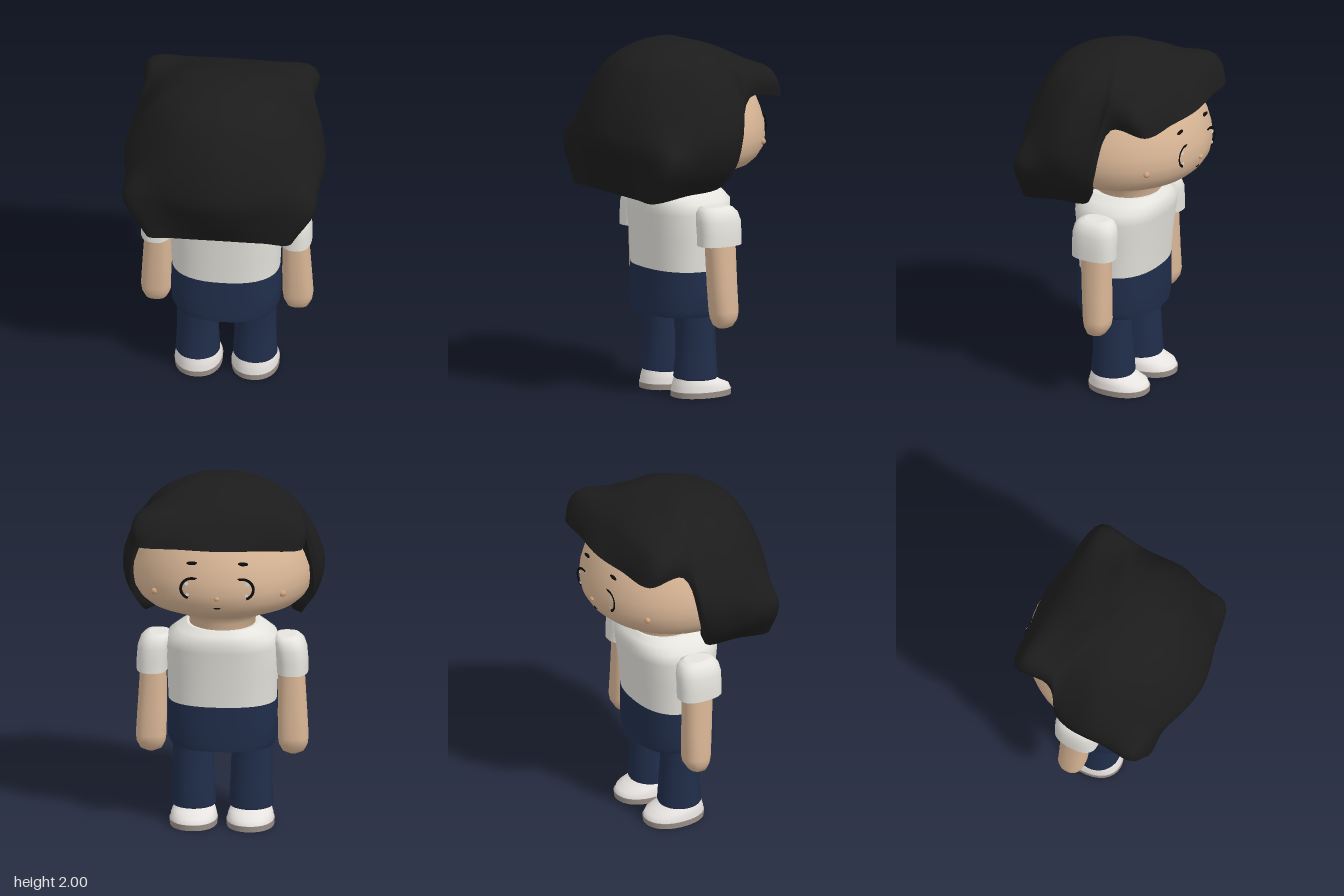
import * as THREE from 'three';

const mat = (name, color, double) => {
  const m = new THREE.MeshStandardMaterial({ color });
  m.name = name;
  if (double) m.side = THREE.DoubleSide;
  return m;
};

// Closed-loop grid of points (rows going upwards, columns from +x towards +z) to a smooth surface
function gridSurface(rows) {
  const n = rows[0].length, pos = [], idx = [];
  rows.forEach(r => r.forEach(p => pos.push(p.x, p.y, p.z)));
  for (let i = 0; i < rows.length - 1; i++) {
    for (let j = 0; j < n; j++) {
      const a = i * n + j, b = i * n + (j + 1) % n, c = a + n, d = b + n;
      idx.push(a, c, b, b, c, d);
    }
  }
  const g = new THREE.BufferGeometry();
  g.setAttribute('position', new THREE.Float32BufferAttribute(pos, 3));
  g.setIndex(idx);
  g.computeVertexNormals();
  return g;
}

// Loft of superellipse rings [y, cx, cz, rx, rz], capped flat at both ends
function loft(rings, power = 2, seg = 32) {
  const ring = ([y, cx, cz, rx, rz]) => Array.from({ length: seg }, (_, j) => {
    const a = j / seg * Math.PI * 2, c = Math.cos(a), s = Math.sin(a);
    const k = Math.pow(Math.abs(c) ** power + Math.abs(s) ** power, -1 / power);
    return new THREE.Vector3(cx + rx * c * k, y, cz + rz * s * k);
  });
  const tip = ([y, cx, cz]) => ring([y, cx, cz, 0.0005, 0.0005]);
  const first = rings[0], last = rings[rings.length - 1];
  return gridSurface([tip(first), ring(first), ...rings.map(ring), ring(last), tip(last)]);
}

// Bobbed hair: meridians from the back round to the front, mirrored and splined into a shell
function hairGeometry() {
  const meridians = [
    [[0, 1.87, 0.36], [0, 1.5, 0.52], [0, 1.33, 0.48], [0, 1.16, 0.40]],
    [[0.19, 1.87, 0.31], [0.28, 1.5, 0.45], [0.27, 1.32, 0.43], [0.25, 1.16, 0.40]],
    [[0.27, 1.86, 0.26], [0.43, 1.56, 0.34], [0.53, 1.40, 0.375], [0.40, 1.16, 0.395]],
    [[0.38, 1.86, 0.08], [0.55, 1.53, 0.13], [0.52, 1.34, 0.16], [0.41, 1.185, 0.18]],
    [[0.39, 1.85, -0.04], [0.55, 1.53, -0.03], [0.53, 1.36, -0.03], [0.44, 1.22, -0.03]],
    [[0.39, 1.85, -0.11], [0.51, 1.65, -0.12], [0.535, 1.5, -0.11], [0.51, 1.37, -0.10]],
    [[0.39, 1.87, -0.16], [0.46, 1.82, -0.18], [0.475, 1.76, -0.19], [0.47, 1.71, -0.20]],
    [[0.33, 1.89, -0.22], [0.44, 1.86, -0.34], [0.475, 1.79, -0.38], [0.46, 1.70, -0.41]],
    [[0.17, 1.92, -0.25], [0.22, 1.86, -0.36], [0.23, 1.78, -0.42], [0.22, 1.70, -0.45]],
    [[0, 1.925, -0.27], [0, 1.86, -0.36], [0, 1.78, -0.42], [0, 1.70, -0.475]],
  ];
  const mirrored = meridians.slice(1, -1).reverse().map(m => m.map(([x, y, z]) => [-x, y, z]));
  const loop = [...meridians, ...mirrored];
  const COLS = 108, STEPS = 24;
  const bands = [0, 1, 2, 3].map(k => {
    const curve = new THREE.CatmullRomCurve3(loop.map(m => new THREE.Vector3(...m[k])), true, 'centripetal');
    // descending parameter gives columns running from +x towards +z
    return Array.from({ length: COLS }, (_, j) => curve.getPoint(((COLS - j) % COLS) / COLS));
  });
  const columns = Array.from({ length: COLS }, (_, j) => {
    const p = bands.map(b => b[j]);
    const crown = new THREE.Vector3(p[0].x * 0.5, 1.97, p[0].z * 0.5);
    const curve = new THREE.CatmullRomCurve3([new THREE.Vector3(0, 2, 0), crown, ...p], false, 'centripetal');
    const down = curve.getPoints(STEPS);
    const hem = down[STEPS];
    const inset = (k, dy) => new THREE.Vector3(hem.x * k, hem.y + dy, hem.z * k);
    return [inset(0.8, 0.14), inset(0.9, 0.02), hem.clone(), ...down.reverse()];
  });
  return gridSurface(columns[0].map((_, i) => columns.map(c => c[i])));
}

export function createModel() {
  const model = new THREE.Group();
  model.name = 'figure';
  const skin = mat('skin', 0xd9b696);
  const blush = mat('blush', 0xd2a27c);
  const hair = mat('hair', 0x1c1c1c, true);
  const shirt = mat('shirt white', 0xe4e3dd);
  const navy = mat('navy cloth', 0x202d4a);
  const shoeWhite = mat('shoe white', 0xe6e2df);
  const soleGrey = mat('sole grey', 0x9c9089);
  const ink = mat('eye black', 0x0c0c0c, true);
  const glint = mat('eye glint', 0xdde6ee, true);

  const add = (name, geometry, material, x = 0, y = 0, z = 0) => {
    const m = new THREE.Mesh(geometry, material);
    m.name = name;
    m.position.set(x, y, z);
    model.add(m);
    return m;
  };
  const blob = (name, material, x, y, z, sx, sy, sz) =>
    add(name, new THREE.SphereGeometry(1, 16, 12), material, x, y, z).scale.set(sx, sy, sz);

  // Head and neck
  add('head', loft([
    [1.12, 0, -0.05, 0.18, 0.18], [1.2, 0, -0.05, 0.185, 0.185], [1.245, 0, -0.035, 0.24, 0.225],
    [1.275, 0, -0.025, 0.35, 0.325], [1.305, 0, -0.025, 0.42, 0.4], [1.34, 0, -0.025, 0.46, 0.44],
    [1.39, 0, -0.025, 0.49, 0.472], [1.45, 0, -0.025, 0.5, 0.485], [1.52, 0, -0.025, 0.5, 0.48],
    [1.6, 0, -0.025, 0.475, 0.46], [1.7, 0, -0.025, 0.435, 0.42], [1.78, 0, -0.02, 0.37, 0.36],
    [1.86, 0, -0.01, 0.28, 0.27], [1.92, 0, 0, 0.18, 0.17],
  ], 2, 48), skin);
  add('hair', hairGeometry(), hair);

  // Face
  blob('nose', blush, 0, 1.435, -0.508, 0.015, 0.013, 0.013);
  blob('mouth', ink, 0, 1.375, -0.486, 0.02, 0.006, 0.005);
  for (const s of [-1, 1]) {
    blob('cheek', blush, s * 0.355, 1.43, -0.362, 0.02, 0.018, 0.016);
    blob('eyebrow', ink, s * 0.14, 1.625, -0.456, 0.032, 0.011, 0.008);
    const lash = add('eyeLash', new THREE.RingGeometry(0.054, 0.07, 28, 1, -1.2, 3.5), ink, s * 0.14, 1.487, -0.485);
    lash.scale.set(s, 0.95, 1);
    for (const [dx, dy, r] of [[0.03, 0.03, 0.011], [0.025, -0.035, 0.009]]) {
      add('eyeGlint', new THREE.CircleGeometry(r, 14), glint, s * (0.14 + dx), 1.487 + dy, -0.489);
    }
  }

  // Torso
  add('shirtBody', loft([
    [0.72, 0, -0.03, 0.3, 0.22], [0.9, 0, -0.032, 0.308, 0.235], [1.04, 0, -0.035, 0.318, 0.25],
    [1.1, 0, -0.037, 0.3, 0.256], [1.135, 0, -0.03, 0.25, 0.238], [1.165, 0, -0.025, 0.2, 0.215],
  ], 2.4, 40), shirt);
  add('hips', loft([
    [0.46, 0, -0.023, 0.283, 0.222], [0.5, 0, -0.024, 0.303, 0.226],
    [0.6, 0, -0.027, 0.306, 0.225], [0.72, 0, -0.03, 0.302, 0.222],
  ], 2.4, 40), navy);

  // Limbs, mirrored
  for (const s of [-1, 1]) {
    add('sleeve', loft([
      [0.885, s * 0.39, -0.05, 0.086, 0.128], [0.95, s * 0.388, -0.05, 0.088, 0.128],
      [1.02, s * 0.38, -0.05, 0.09, 0.128], [1.065, s * 0.37, -0.048, 0.085, 0.118],
      [1.09, s * 0.36, -0.047, 0.07, 0.097], [1.098, s * 0.355, -0.047, 0.05, 0.07],
    ], 2.6), shirt);
    add('arm', loft([
      [0.415, s * 0.395, -0.07, 0.025, 0.03], [0.43, s * 0.395, -0.07, 0.06, 0.05],
      [0.47, s * 0.395, -0.075, 0.08, 0.07], [0.51, s * 0.395, -0.075, 0.085, 0.077],
      [0.65, s * 0.39, -0.068, 0.082, 0.08], [0.92, s * 0.383, -0.058, 0.072, 0.086],
    ], 2.4), skin);
    add('trouserLeg', loft([
      [0.1, s * 0.16, -0.043, 0.118, 0.118], [0.11, s * 0.16, -0.043, 0.124, 0.123],
      [0.22, s * 0.16, -0.045, 0.118, 0.114], [0.35, s * 0.162, -0.04, 0.115, 0.11],
      [0.5, s * 0.165, -0.03, 0.112, 0.118],
    ]), navy);
    add('sole', loft([
      [0, s * 0.158, -0.08, 0.132, 0.176], [0.032, s * 0.158, -0.08, 0.134, 0.178],
    ], 2.2), soleGrey);
    add('shoe', loft([
      [0.032, s * 0.158, -0.08, 0.13, 0.174], [0.06, s * 0.158, -0.076, 0.126, 0.166],
      [0.08, s * 0.158, -0.055, 0.118, 0.139], [0.105, s * 0.158, -0.038, 0.104, 0.114],
    ], 2.2), shoeWhite);
  }
  return model;
}
